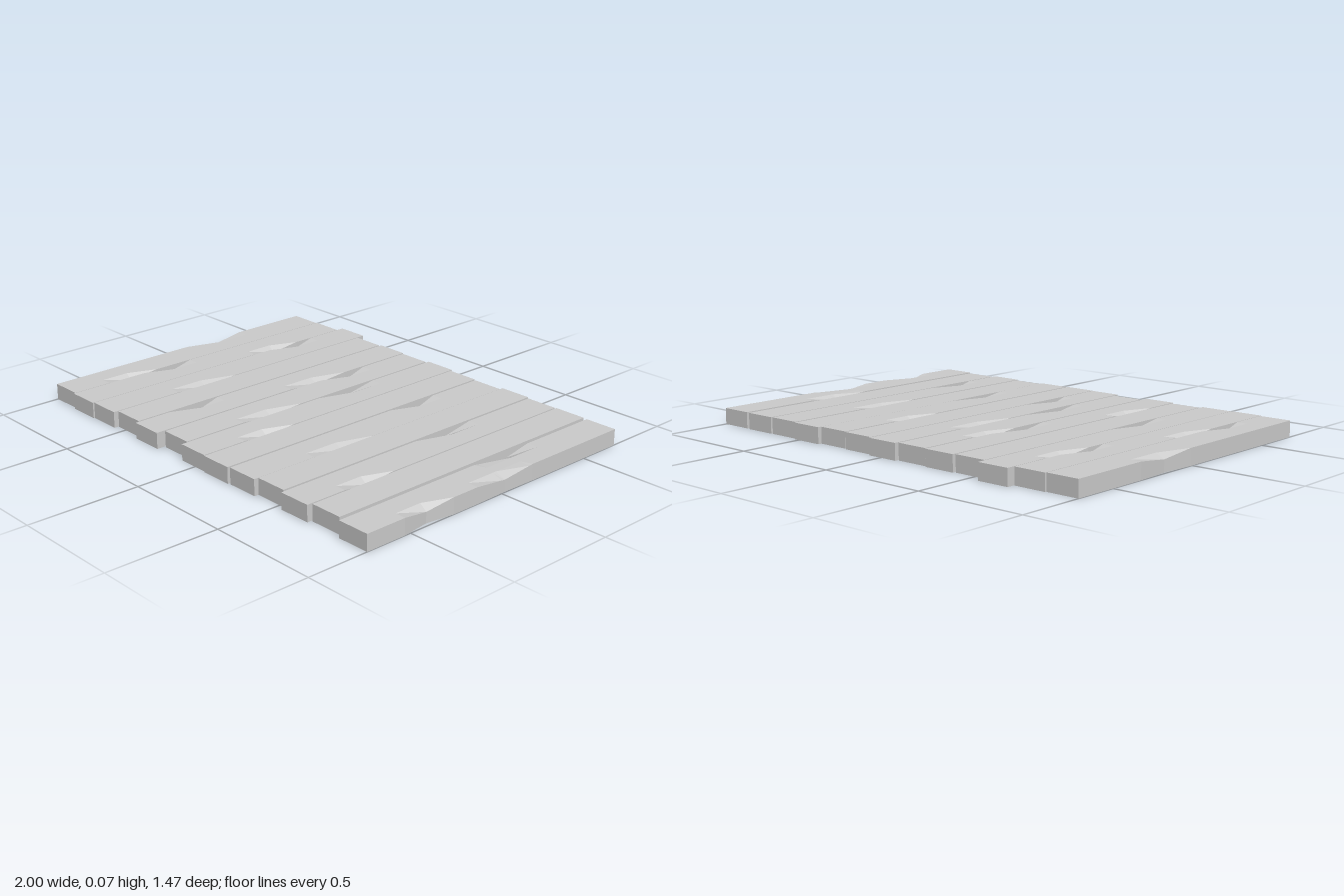
import * as THREE from 'three';

const WIDTH = 0.147;
const HEIGHT = 0.072;
const BEVEL = 0.05; // how far a chip reaches in across the top

// Left edge, back end and front end of each plank
const STARTS = [-1, -0.85, -0.7, -0.548, -0.393, -0.238, -0.083, 0.07, 0.227, 0.375, 0.533, 0.687, 0.853];
const BACKS = [0.7, 0.705, 0.74, 0.7, 0.708, 0.7, 0.713, 0.7, 0.693, 0.71, 0.7, 0.703, 0.7];
const FRONTS = [0.72, 0.73, 0.725, 0.705, 0.725, 0.688, 0.72, 0.725, 0.72, 0.7, 0.72, 0.7, 0.72];

// Chips in the long edges: plank index, z of the deepest point, inward depth
const LOW_X_CHIPS = [
  [0, -0.17, 0.01], [1, 0.22, 0.014], [2, -0.4, 0.018], [4, 0.42, 0.02], [5, -0.31, 0.02],
  [6, -0.19, 0.012], [8, -0.29, 0.02], [10, -0.16, 0.012], [12, -0.16, 0.012],
];
const HIGH_X_CHIPS = [
  [0, 0.41, 0.018], [1, -0.31, 0.015], [2, 0.22, 0.01], [4, -0.17, 0.012], [5, 0.23, 0.012],
  [6, 0.38, 0.018], [8, 0.25, 0.01], [10, 0.4, 0.018], [12, 0.4, 0.018], [12, -0.02, 0.004],
];

// Shallow chips are longer and drop the top edge less
function chipsOf(list, plank) {
  return list.filter(([i]) => i === plank).map(([, z, depth]) => {
    const shallow = depth < 0.014;
    return { z, depth, reach: shallow ? 0.16 : 0.13, drop: shallow ? 0.02 : 0.025 };
  });
}

// Inward depth and top drop of one edge at a given z
function wear(chips, z) {
  let depth = 0;
  let drop = 0;
  for (const c of chips) {
    const t = Math.max(0, 1 - Math.abs(z - c.z) / c.reach);
    depth = Math.max(depth, c.depth * t);
    drop = Math.max(drop, c.drop * t);
  }
  return { depth, drop };
}

// Plank lofted from cross-sections placed at the ends and at every chip corner
function plankGeometry(i) {
  const x0 = STARTS[i];
  const x1 = x0 + WIDTH;
  const low = chipsOf(LOW_X_CHIPS, i);
  const high = chipsOf(HIGH_X_CHIPS, i);
  const corners = [...low, ...high].flatMap((c) => [c.z - c.reach, c.z, c.z + c.reach]);
  const stops = [...new Set([-BACKS[i], FRONTS[i], ...corners])].sort((a, b) => a - b);
  const rings = stops.map((z) => {
    const l = wear(low, z);
    const h = wear(high, z);
    return [
      [x0 + l.depth, 0, z], [x1 - h.depth, 0, z], [x1 - h.depth, HEIGHT - h.drop, z],
      [x1 - BEVEL, HEIGHT, z], [x0 + BEVEL, HEIGHT, z], [x0 + l.depth, HEIGHT - l.drop, z],
    ];
  });

  const pos = [];
  const tri = (a, b, c) => pos.push(...a, ...b, ...c);
  for (let k = 0; k < rings.length - 1; k++) {
    for (let j = 0; j < 6; j++) {
      const n = (j + 1) % 6;
      tri(rings[k][j], rings[k][n], rings[k + 1][n]);
      tri(rings[k][j], rings[k + 1][n], rings[k + 1][j]);
    }
  }
  // End caps
  const back = rings[0];
  const front = rings[rings.length - 1];
  for (let j = 1; j < 5; j++) {
    tri(front[0], front[j], front[j + 1]);
    tri(back[0], back[j + 1], back[j]);
  }
  const geo = new THREE.BufferGeometry();
  geo.setAttribute('position', new THREE.Float32BufferAttribute(pos, 3));
  geo.computeVertexNormals();
  return geo;
}

export function createModel() {
  const group = new THREE.Group();
  group.name = 'plankFloor';
  const wood = new THREE.MeshStandardMaterial({ color: 0xcccccc, flatShading: true });
  for (let i = 0; i < STARTS.length; i++) {
    const mesh = new THREE.Mesh(plankGeometry(i), wood);
    mesh.name = `plank${i + 1}`;
    group.add(mesh);
  }
  return group;
}
